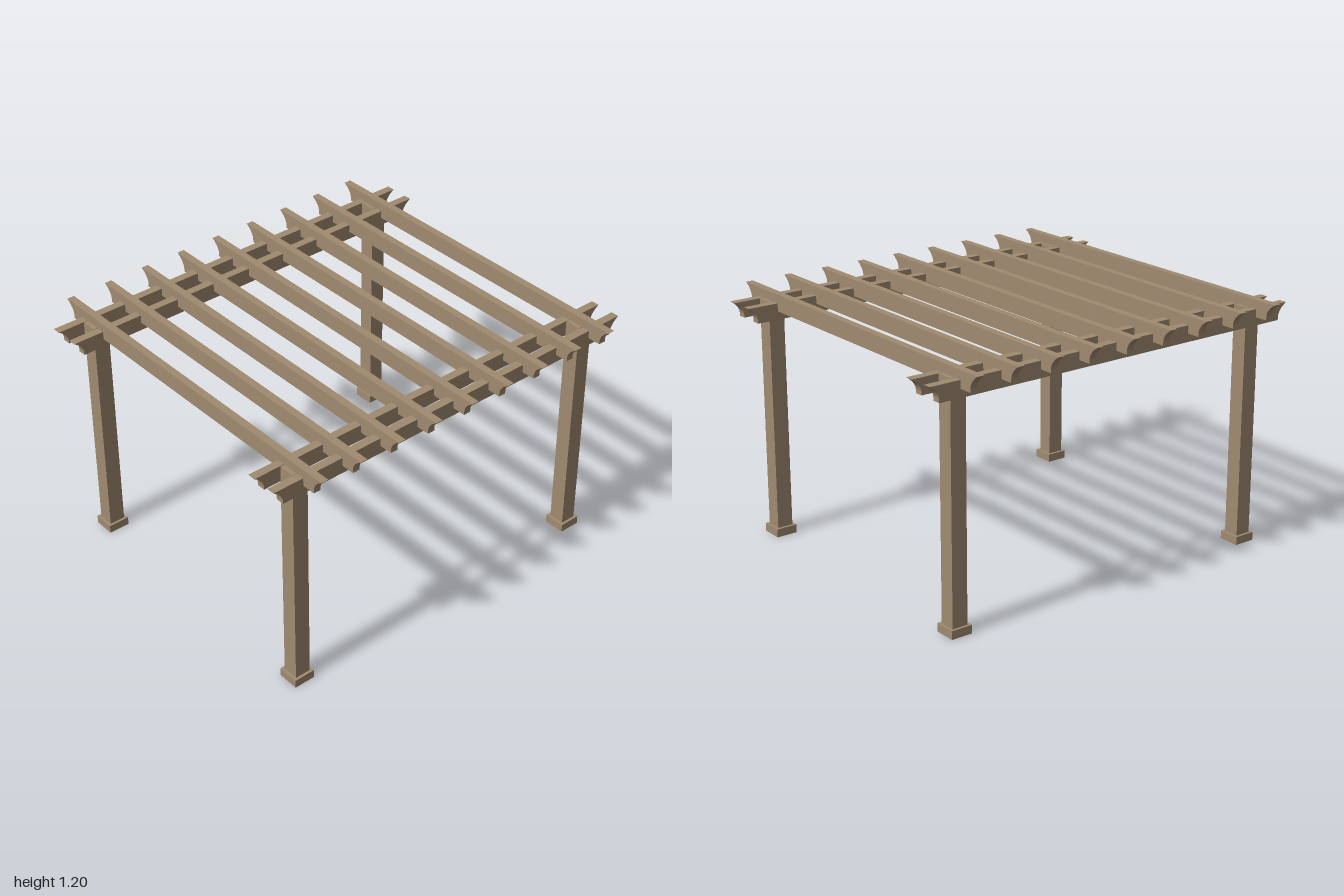
import * as THREE from 'three';

const wood = new THREE.MeshStandardMaterial({ color: 0xa08a70 });
wood.name = 'weathered wood';

// Plank along x with a concave scooped cut under each end, centred on z
function plankGeometry(half, bottom, top, thickness) {
  const foot = half - 0.048, knee = bottom + 0.016;
  const shape = new THREE.Shape();
  shape.moveTo(-foot, bottom);
  shape.lineTo(foot, bottom);
  shape.lineTo(foot, knee);
  shape.quadraticCurveTo(foot + 0.003, top - 0.027, half, top);
  shape.lineTo(-half, top);
  shape.quadraticCurveTo(-foot - 0.003, top - 0.027, -foot, knee);
  shape.closePath();
  const geometry = new THREE.ExtrudeGeometry(shape, { depth: thickness, bevelEnabled: false, curveSegments: 8 });
  return geometry.translate(0, 0, -thickness / 2);
}

export function createModel() {
  const model = new THREE.Group();
  model.name = 'pergola';

  const add = (name, geometry, x, y, z) => {
    const mesh = new THREE.Mesh(geometry, wood);
    mesh.name = name;
    mesh.position.set(x, y, z);
    model.add(mesh);
  };

  const postGeometry = new THREE.BoxGeometry(0.078, 1.155, 0.078);
  const baseGeometry = new THREE.BoxGeometry(0.105, 0.04, 0.105);
  const beamGeometry = plankGeometry(1, 1.078, 1.155, 0.04).rotateY(Math.PI / 2);
  const rafterGeometry = plankGeometry(0.895, 1.117, 1.197, 0.036);

  for (const side of [-1, 1]) {
    // Posts with their square feet
    for (const end of [-1, 1]) {
      add('post', postGeometry, side * 0.7, 0.5775, end * 0.828);
      add('postBase', baseGeometry, side * 0.7, 0.02, end * 0.828);
    }
    // Pair of beams clasping the posts
    for (const offset of [-0.061, 0.061]) add('beam', beamGeometry, side * 0.7 + offset, 0, 0);
  }

  // Rafters notched over the beams
  for (let i = -4; i <= 4; i++) add('rafter', rafterGeometry, 0, 0, i * 0.207);

  return model;
}
